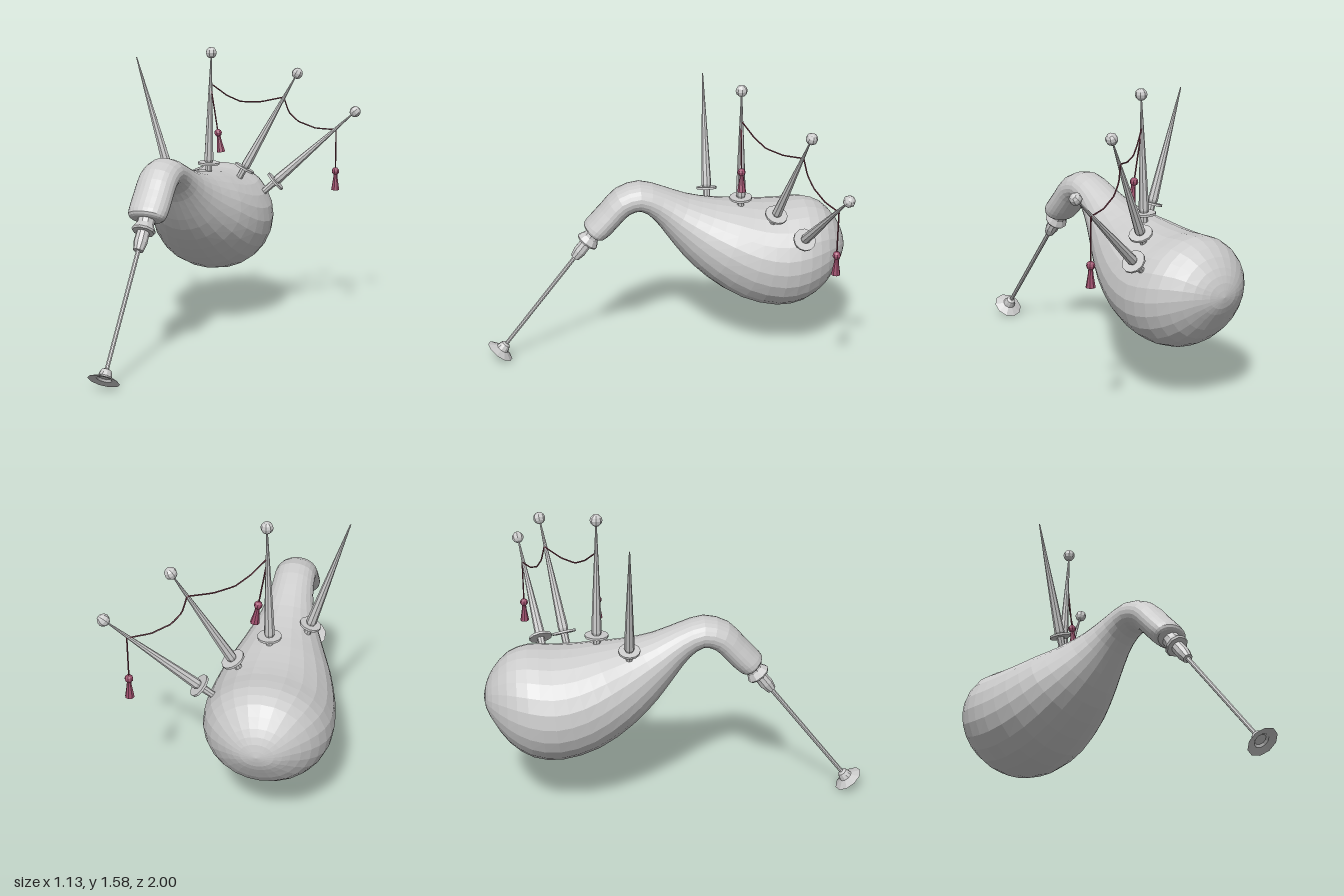
import * as THREE from 'three';

const V = (x, y, z) => new THREE.Vector3(x, y, z);
const UP = V(0, 1, 0);
const CX = -0.24; // centre plane of bag and chanter

const mat = (color) => new THREE.MeshStandardMaterial({ color, flatShading: true, side: THREE.DoubleSide });
const grey = mat(0xcccccc);
const maroon = mat(0xa0506e);
const cordMat = mat(0x7a3c4c);

function add(parent, name, geometry, material = grey) {
  const mesh = new THREE.Mesh(geometry, material);
  mesh.name = name;
  parent.add(mesh);
  return mesh;
}

// Group whose local +y runs from one point towards another
function axisGroup(name, from, to) {
  const g = new THREE.Group();
  g.name = name;
  g.position.copy(from);
  g.quaternion.setFromUnitVectors(UP, to.clone().sub(from).normalize());
  return g;
}

const lathe = (pts, n) => new THREE.LatheGeometry(pts.map(([r, y]) => new THREE.Vector2(r, y)), n);

// Bag: elliptical sections, each [top z, top y, bottom z, bottom y, half width]
function bagGeometry() {
  const sections = [
    [0.385, 0.755, 0.385, 0.755, 0],
    [0.435, 0.785, 0.345, 0.725, 0.085],
    [0.443, 0.81, 0.322, 0.735, 0.102],
    [0.41, 0.85, 0.28, 0.775, 0.107],
    [0.355, 0.91, 0.235, 0.825, 0.107],
    [0.27, 1.0, 0.19, 0.866, 0.107],
    [0.14, 1.04, 0.135, 0.878, 0.107],
    [0, 0.998, 0.07, 0.83, 0.115],
    [-0.13, 0.947, 0, 0.735, 0.145],
    [-0.28, 0.912, -0.09, 0.61, 0.2],
    [-0.42, 0.895, -0.22, 0.475, 0.265],
    [-0.54, 0.882, -0.4, 0.35, 0.312],
    [-0.65, 0.88, -0.6, 0.29, 0.33],
    [-0.77, 0.888, -0.75, 0.305, 0.31],
    [-0.87, 0.855, -0.87, 0.385, 0.25],
    [-0.95, 0.77, -0.95, 0.5, 0.16],
    [-0.985, 0.7, -0.987, 0.57, 0.085],
    [-1, 0.63, -1, 0.63, 0],
  ];
  const top = new THREE.CatmullRomCurve3(sections.map((s) => V(s[4], s[1], s[0])));
  const bottom = new THREE.CatmullRomCurve3(sections.map((s) => V(0, s[3], s[2])));
  const rings = 34, sides = 24, pos = [], idx = [];
  for (let i = 0; i <= rings; i++) {
    const t = top.getPoint(i / rings), b = bottom.getPoint(i / rings);
    for (let j = 0; j < sides; j++) {
      const a = (j / sides) * Math.PI * 2, k = (1 + Math.cos(a)) / 2;
      pos.push(CX + t.x * Math.sin(a), b.y + (t.y - b.y) * k, b.z + (t.z - b.z) * k);
      if (i === rings) continue;
      const p = i * sides + j, q = i * sides + ((j + 1) % sides);
      idx.push(p, q, p + sides, q, q + sides, p + sides);
    }
  }
  const g = new THREE.BufferGeometry();
  g.setAttribute('position', new THREE.Float32BufferAttribute(pos, 3));
  g.setIndex(idx);
  g.computeVertexNormals();
  return g;
}

// Tapered pipe with a collar; the stub below the collar sinks into the bag
function pipe(name, collar, tip, collarRadius, ball) {
  const g = axisGroup(name, collar, tip);
  const len = collar.distanceTo(tip);
  add(g, 'pipeShaft', lathe([[0, -0.1], [0.018, -0.1], [0.02, 0], [0.027, 0.02], [0.021, len * 0.3], [0.003, len]], 8));
  add(g, 'collar', new THREE.CylinderGeometry(collarRadius, collarRadius, 0.012, 12));
  if (ball) add(g, 'pipeBall', new THREE.SphereGeometry(0.032, 8, 6)).position.y = len;
  return g;
}

// Cord made of straight lengths
function cord(name, points) {
  const path = new THREE.CurvePath();
  for (let i = 1; i < points.length; i++) path.add(new THREE.LineCurve3(points[i - 1], points[i]));
  return [name, new THREE.TubeGeometry(path, (points.length - 1) * 4, 0.004, 5), cordMat];
}

// Tassel: hanging cord, knot and flared skirt
function tassel(name, from, knot) {
  const g = axisGroup(name, knot, knot.clone().multiplyScalar(2).sub(from));
  const len = from.distanceTo(knot);
  add(g, 'tasselCord', new THREE.CylinderGeometry(0.004, 0.004, len, 5), cordMat).position.y = -len / 2;
  add(g, 'tasselKnot', new THREE.SphereGeometry(0.022, 8, 6), maroon);
  add(g, 'tasselSkirt', lathe([[0, 0.012], [0.011, 0.014], [0.013, 0.04], [0.024, 0.108], [0, 0.108]], 8), maroon);
  return g;
}

export function createModel() {
  const model = new THREE.Group();
  model.name = 'bagpipe';
  add(model, 'bag', bagGeometry());

  // Chanter: flared stock, sleeve, thin rod and dished foot
  const chanter = axisGroup('chanter', V(CX, 0.76, 0.385), V(CX, 0.052, 0.935));
  add(chanter, 'chanterStock', lathe([[0.046, -0.03], [0.046, 0.035], [0.064, 0.068], [0.058, 0.078], [0.034, 0.08],
    [0.036, 0.14], [0.026, 0.185], [0, 0.188]], 10));
  add(chanter, 'chanterRod', new THREE.CylinderGeometry(0.011, 0.012, 0.7, 8)).position.y = 0.52;
  add(chanter, 'chanterFoot', lathe([[0.011, 0.83], [0.026, 0.838], [0.031, 0.853], [0.036, 0.872], [0.082, 0.894],
    [0.04, 0.885], [0.03, 0.875], [0, 0.875]], 10));
  model.add(chanter);

  // Blowpipe and three drones
  model.add(pipe('blowpipe', V(-0.383, 0.925, -0.25), V(-0.565, 1.53, -0.25), 0.056, false));
  [
    [V(-0.2, 0.935, -0.41), V(-0.18, 1.555, -0.398)],
    [V(-0.046, 0.89, -0.577), V(0.228, 1.428, -0.688)],
    [V(0.098, 0.802, -0.704), V(0.533, 1.21, -0.817)],
  ].forEach(([collar, tip], i) => model.add(pipe('drone' + (i + 1), collar, tip, 0.062, true)));

  // Cords sagging between the drones, and the tassels
  const p1 = V(-0.186, 1.386, -0.4), p2 = V(0.157, 1.294, -0.667), p3 = V(0.429, 1.105, -0.796);
  add(model, ...cord('upperCord', [p1, V(-0.11, 1.315, -0.459), V(-0.045, 1.277, -0.51), V(0.048, 1.272, -0.582), p2]));
  add(model, ...cord('lowerCord', [p2, V(0.18, 1.21, -0.685), V(0.228, 1.155, -0.71), V(0.32, 1.115, -0.75), p3]));
  model.add(tassel('innerTassel', p1, V(-0.14, 1.11, -0.4)));
  model.add(tassel('outerTassel', p3, V(0.429, 0.866, -0.796)));
  return model;
}
